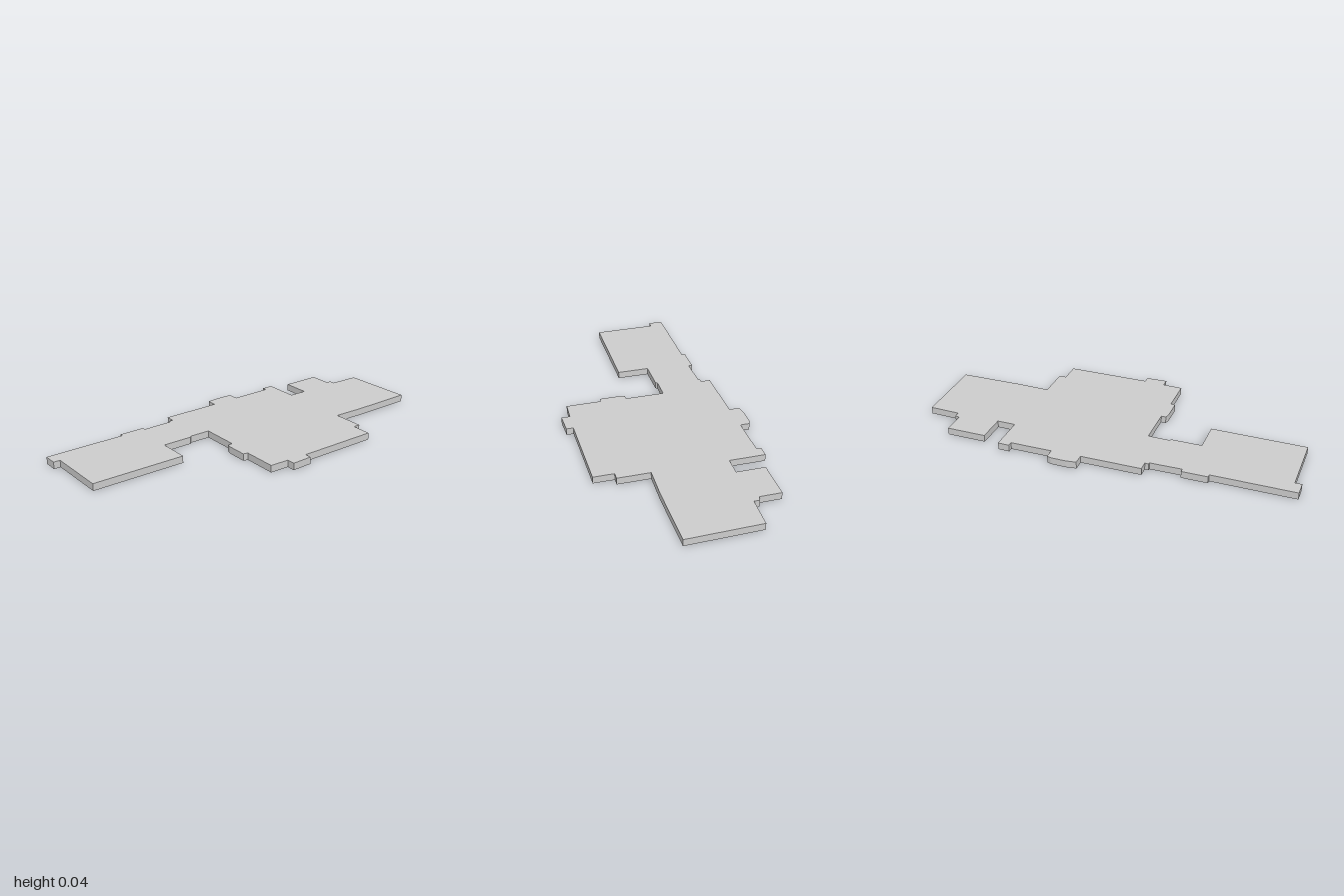
import * as THREE from 'three';

const HEIGHT = 0.037;

// Footprint corners [x, z], clockwise seen from above, starting at the back right wing
const OUTLINE = [
  [-1, -0.33], [-0.57, -0.335], [-0.57, -0.353], [-0.435, -0.355], [-0.435, -0.335],
  [-0.27, -0.34], [-0.27, -0.35], [-0.25, -0.35], [-0.25, -0.4], [0.065, -0.405],
  [0.065, -0.46], [0.12, -0.468], [0.2, -0.468], [0.22, -0.46], [0.22, -0.411],
  [0.44, -0.415], [0.44, -0.44], [0.5, -0.44], [0.5, -0.252], [0.597, -0.252],
  [0.597, -0.403], [0.805, -0.405], [0.805, -0.29], [0.83, -0.285], [0.83, -0.255],
  [0.992, -0.252], [1, 0.135], [0.66, 0.143], [0.495, 0.14], [0.495, 0.31],
  [0.457, 0.31], [0.457, 0.418], [0.02, 0.424], [0.02, 0.46], [-0.09, 0.465],
  [-0.09, 0.42], [-0.193, 0.418], [-0.193, 0.235], [-0.217, 0.23], [-0.217, 0.12],
  [-0.21, 0.095], [-0.185, 0.095], [-0.185, -0.112], [-0.295, -0.112], [-0.305, -0.102],
  [-0.465, -0.1], [-0.465, 0.068], [-0.965, 0.07], [-0.965, -0.255], [-1, -0.255],
];

// One flat quad standing on every edge of the footprint
function wallGeometry(points, height) {
  const positions = [];
  points.forEach(([ax, az], i) => {
    const [bx, bz] = points[(i + 1) % points.length];
    positions.push(
      ax, 0, az, ax, height, az, bx, height, bz,
      ax, 0, az, bx, height, bz, bx, 0, bz,
    );
  });
  const geometry = new THREE.BufferGeometry();
  geometry.setAttribute('position', new THREE.Float32BufferAttribute(positions, 3));
  geometry.computeVertexNormals();
  return geometry;
}

export function createModel() {
  const grey = new THREE.MeshStandardMaterial({ color: 0xcccccc, side: THREE.DoubleSide });
  grey.name = 'light grey';

  const model = new THREE.Group();
  model.name = 'buildingBlock';

  // Flat roof covering the whole footprint
  const shape = new THREE.Shape(OUTLINE.map(([x, z]) => new THREE.Vector2(x, -z)));
  const roof = new THREE.Mesh(new THREE.ShapeGeometry(shape).rotateX(-Math.PI / 2), grey);
  roof.position.y = HEIGHT;
  roof.name = 'roof';

  // Thin outer walls, open underneath
  const walls = new THREE.Mesh(wallGeometry(OUTLINE, HEIGHT), grey);
  walls.name = 'walls';

  model.add(roof, walls);
  return model;
}
